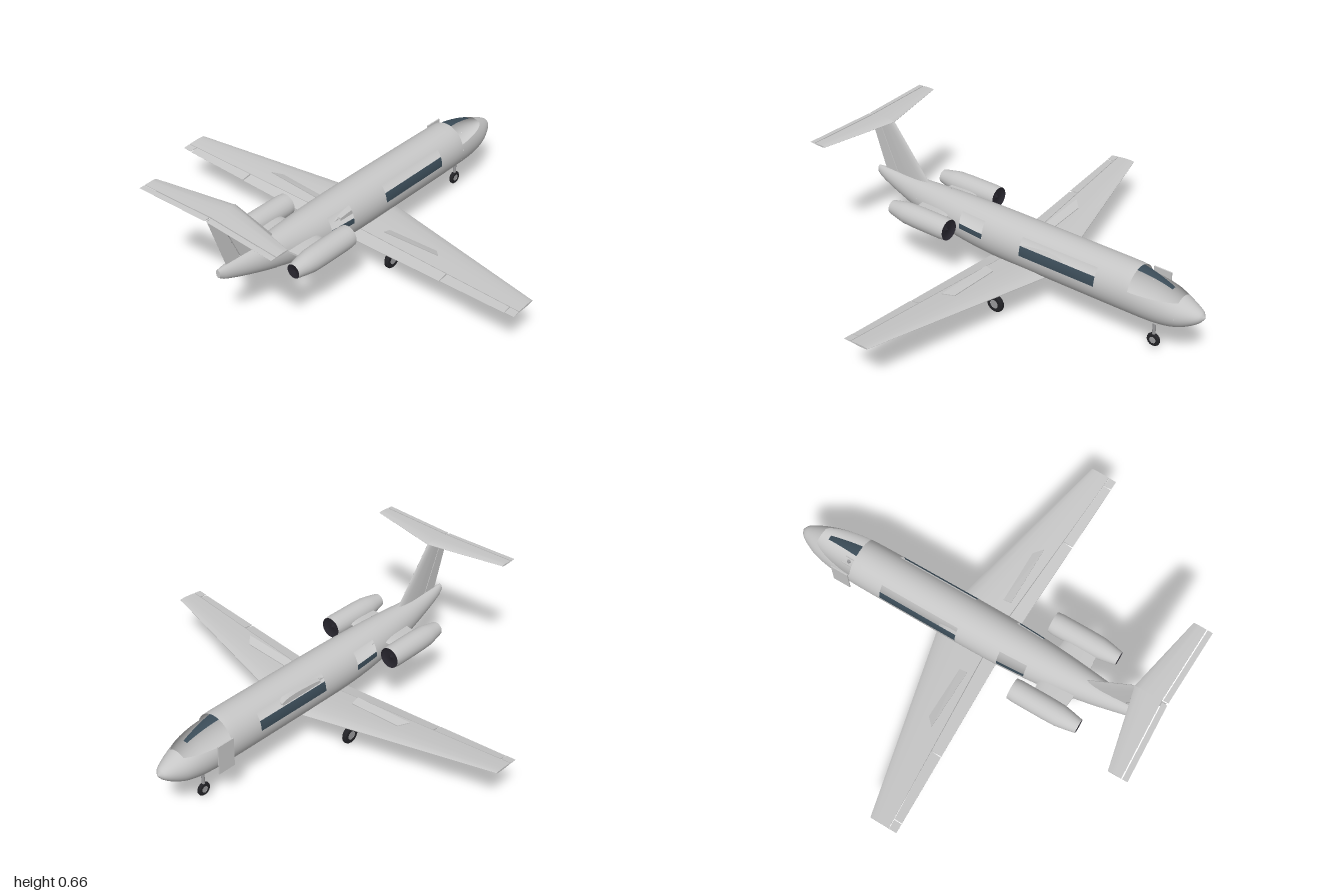
import * as THREE from 'three';
import { toCreasedNormals } from 'three/addons/utils/BufferGeometryUtils.js';
import { ConvexGeometry } from 'three/addons/geometries/ConvexGeometry.js';

const material = (name, color, side = THREE.FrontSide) =>
  Object.assign(new THREE.MeshStandardMaterial({ color, side }), { name });

const RAD = Math.PI / 180;
const V = (x, y, z) => new THREE.Vector3(x, y, z);

// Fuselage stations: x, top y, bottom y, half width
const STATIONS = [
  [-0.9, 0.385, 0.345, 0.012], [-0.87, 0.387, 0.325, 0.022], [-0.75, 0.39, 0.28, 0.045],
  [-0.6, 0.396, 0.234, 0.07], [-0.4, 0.402, 0.19, 0.095], [-0.2, 0.404, 0.17, 0.109],
  [0, 0.404, 0.166, 0.113], [0.3, 0.404, 0.166, 0.113], [0.55, 0.404, 0.166, 0.112],
  [0.63, 0.402, 0.166, 0.11], [0.7, 0.39, 0.166, 0.105], [0.78, 0.367, 0.171, 0.093],
  [0.85, 0.337, 0.188, 0.076], [0.91, 0.311, 0.218, 0.05], [0.945, 0.292, 0.245, 0.027],
  [0.96, 0.273, 0.266, 0.003],
];

// Station values at x, eased between neighbours
function stationAt(x) {
  let i = 0;
  while (i < STATIONS.length - 2 && STATIONS[i + 1][0] < x) i++;
  const at = (k) => STATIONS[Math.min(Math.max(k, 0), STATIONS.length - 1)];
  const p = at(i), q = at(i + 1), h = q[0] - p[0], t = (x - p[0]) / h;
  const slope = (k, j) => (at(k + 1)[j] - at(k - 1)[j]) / (at(k + 1)[0] - at(k - 1)[0]);
  return [1, 2, 3].map((j) => {
    const a = t * t * (3 - 2 * t), b = t * (1 - t) * (1 - t), c = t * t * (t - 1);
    return p[j] * (1 - a) + q[j] * a + h * (b * slope(i, j) + c * slope(i + 1, j));
  });
}

function hullPoint(x, a) {
  const [top, bottom, w] = stationAt(x);
  return V(x, (top + bottom) / 2 + ((top - bottom) / 2) * Math.sin(a), w * Math.cos(a));
}

// Skin between two x positions and two angles (numbers in degrees, or functions of x)
function patch(x0, x1, a0, a1, nx = 6, na = 16) {
  const pos = [], nor = [], index = [];
  const ang = (a, x) => (typeof a === 'function' ? a(x) : a) * RAD;
  for (let i = 0; i <= nx; i++) {
    const x = x0 + ((x1 - x0) * i) / nx;
    for (let j = 0; j <= na; j++) {
      const a = ang(a0, x) + ((ang(a1, x) - ang(a0, x)) * j) / na, e = 0.002;
      pos.push(...hullPoint(x, a));
      const dx = hullPoint(Math.min(x + e, 0.96), a).sub(hullPoint(Math.max(x - e, -0.9), a));
      const da = hullPoint(x, a + 0.01).sub(hullPoint(x, a - 0.01));
      nor.push(...dx.cross(da).normalize());
      if (i < nx && j < na) {
        const p = i * (na + 1) + j, q = p + na + 1;
        index.push(p, q, q + 1, p, q + 1, p + 1);
      }
    }
  }
  const g = new THREE.BufferGeometry();
  g.setAttribute('position', new THREE.Float32BufferAttribute(pos, 3));
  g.setAttribute('normal', new THREE.Float32BufferAttribute(nor, 3));
  g.setIndex(index);
  return g;
}

// Tapered aerofoil between sections [leading edge, trailing edge, half thickness]
const MAIN = [[0, 0.1], [0.06, 0.55], [0.2, 0.9], [0.42, 1], [0.7, 0.8], [1, 0.45]];
const FLAP = [[0, 0.42], [1, 0.06]];
function foil(sections, profile, axis) {
  const pts = [];
  for (const [le, te, thick] of sections)
    for (const [t, f] of profile)
      for (const s of [1, -1]) pts.push(le.clone().lerp(te, t).addScaledVector(axis, s * thick * f));
  return toCreasedNormals(new ConvexGeometry(pts), 0.5);
}

export function createModel() {
  const model = new THREE.Group();
  model.name = 'jet';
  const skin = material('light grey skin', 0xc6c6c6, THREE.DoubleSide);
  const glass = material('dark blue glass', 0x3b4c58, THREE.DoubleSide);
  const rubber = material('black rubber', 0x222226);
  const metal = material('gear metal', 0x9a9a9c);
  const dark = material('intake dark', 0x26242c, THREE.DoubleSide);
  const add = (name, geo, mat, parent = model) => {
    const m = new THREE.Mesh(geo, mat);
    m.name = name;
    parent.add(m);
    return m;
  };
  const box = (name, mat, w, h, d, x, y, z) =>
    add(name, new THREE.BoxGeometry(w, h, d), mat).position.set(x, y, z);

  // Fuselage skin, with openings for belly slots, windows and cockpit
  const fuselage = new THREE.Group();
  fuselage.name = 'fuselage';
  model.add(fuselage);
  const ring = (x0, x1, n) => add('fuselageSection', patch(x0, x1, 0, 360, n, 40), skin, fuselage);
  ring(-0.9, -0.6, 12);
  const slot = (x) => 314 - ((x + 0.6) / 0.15) * 9;
  add('bellySection', patch(-0.6, -0.45, (x) => slot(x) - 360, (x) => 540 - slot(x), 6, 30), skin, fuselage);
  add('bellyKeel', patch(-0.6, -0.45, 237, 303, 6, 10), skin, fuselage);
  ring(-0.45, -0.31, 6);
  ring(-0.17, 0.05, 6);
  ring(0.46, 0.63, 6);
  ring(0.85, 0.96, 14);
  for (const [x0, x1, glassTop] of [[-0.31, -0.17, 13], [0.05, 0.46, 24]]) {
    add('roof', patch(x0, x1, 45, 135, 6, 10), skin, fuselage);
    add('lowerHull', patch(x0, x1, 180, 360, 6, 20), skin, fuselage);
    add('leftWindow', patch(x0, x1, 0, glassTop, 6, 4), glass, fuselage);
    add('rightWindow', patch(x0, x1, 180 - glassTop, 180, 6, 4), glass, fuselage);
  }

  // Open cockpit tub below the sill, and the windscreen strip above it
  const sill = (x) => {
    const [top, bottom] = stationAt(x);
    return Math.asin((0.324 - (top + bottom) / 2) / ((top - bottom) / 2)) / RAD;
  };
  add('cockpitTub', patch(0.63, 0.85, (x) => 180 - sill(x), (x) => 360 + sill(x), 12, 30), skin, fuselage);
  add('windscreen', patch(0.63, 0.8, (x) => 75 + (x - 0.63) * 45, (x) => 105 - (x - 0.63) * 45, 8, 6), glass, fuselage);
  box('crewDoor', skin, 0.09, 0.145, 0.006, 0.675, 0.2725, -0.114);
  add('tailCap', new THREE.CircleGeometry(1, 16), skin, fuselage);
  const cap = fuselage.children.at(-1);
  cap.scale.set(0.012, 0.02, 1);
  cap.rotation.y = -Math.PI / 2;
  cap.position.set(-0.9, 0.365, 0);

  // Fin and rudder
  const sideways = V(0, 0, 1), up = V(0, 1, 0);
  add('fin', foil([[V(-0.57, 0.385, 0), V(-0.765, 0.375, 0), 0.012],
    [V(-0.78, 0.655, 0), V(-0.885, 0.655, 0), 0.008]], MAIN, sideways), skin);
  add('rudder', foil([[V(-0.77, 0.375, 0), V(-0.852, 0.385, 0), 0.012],
    [V(-0.889, 0.655, 0), V(-0.94, 0.655, 0), 0.008]], FLAP, sideways), skin);

  for (const s of [1, -1]) {
    const side = s > 0 ? 'left' : 'right';
    // Main wing, flaps and ailerons
    const at = (z) => {
      const t = (z - 0.05) / 0.95, y = 0.188 + 0.055 * t;
      return {
        le: V(0.172 - 0.227 * t, y, s * z), hinge: V(-0.085 - 0.065 * t, y - 0.003, s * z),
        te: V(-0.155 - 0.035 * t, y - 0.006, s * z), thick: 0.02 - 0.015 * t,
      };
    };
    const part = (name, zs, from, to, profile, drop = 0) => add(side + name, foil(zs.map((z) => {
      const p = at(z);
      if (profile === FLAP) p.hinge.x -= 0.003;
      p.te.y -= drop;
      return [p[from], p[to], p.thick];
    }), profile, up), skin);
    part('Wing', [0.05, 1], 'le', 'hinge', MAIN);
    part('Flap', [0.06, 0.597], 'hinge', 'te', FLAP, 0.004);
    part('Aileron', [0.603, 0.95], 'hinge', 'te', FLAP, 0.002);
    part('WingTipTab', [0.954, 1], 'hinge', 'te', FLAP);

    // Raised spoiler
    const spoiler = [[-0.03, 0.216, 0.2], [-0.07, 0.228, 0.2], [-0.03, 0.23, 0.47], [-0.07, 0.246, 0.51]];
    add(side + 'Spoiler', new ConvexGeometry(spoiler.flatMap(([x, y, z]) =>
      [V(x, y, s * z), V(x, y - 0.004, s * z)])), skin);

    // Tailplane and elevator
    add(side + 'Tailplane', foil([[V(-0.785, 0.655, 0), V(-0.915, 0.655, 0), 0.009],
      [V(-0.867, 0.655, s * 0.382), V(-0.93, 0.655, s * 0.382), 0.004]], MAIN, up), skin);
    add(side + 'Elevator', foil([[V(-0.92, 0.655, s * 0.006), V(-0.945, 0.654, s * 0.006), 0.009],
      [V(-0.935, 0.655, s * 0.382), V(-0.96, 0.655, s * 0.382), 0.004]], FLAP, up), skin);

    // Engine nacelle: open front, tapered exhaust
    const engine = new THREE.Group();
    engine.name = side + 'Engine';
    engine.position.set(0, 0.325, s * 0.186);
    model.add(engine);
    const shell = [[0.034, -0.645], [0.045, -0.59], [0.052, -0.55], [0.054, -0.48], [0.054, -0.33], [0.051, -0.3]];
    const lathe = (name, pts, mat) => {
      const g = new THREE.LatheGeometry(pts.map(([r, y]) => new THREE.Vector2(r, y)), 24);
      add(name, g.rotateZ(-Math.PI / 2), mat, engine);
    };
    lathe('nacelle', shell, skin);
    lathe('intake', [[0.051, -0.3], [0.046, -0.315], [0.012, -0.318], [0, -0.305]], dark);
    lathe('exhaust', [[0, -0.635], [0.034, -0.645]], dark);
    add(side + 'Pylon', foil([[V(-0.38, 0.325, s * 0.06), V(-0.56, 0.325, s * 0.06), 0.011],
      [V(-0.39, 0.325, s * 0.15), V(-0.55, 0.325, s * 0.15), 0.011]], MAIN, up), skin);

    // Main gear door
    box(side + 'GearDoor', skin, 0.07, 0.028, 0.004, -0.018, 0.168, s * 0.158);
  }

  // Landing gear: strut, tyre and hub
  const gear = (name, x, z, r, width, top) => {
    const g = new THREE.Group();
    g.name = name;
    g.position.set(x, 0, z);
    model.add(g);
    const cy = name === 'noseGear' ? 0.05 : r;
    const rod = (n, rad, len, mat, sides) => add(n, new THREE.CylinderGeometry(rad, rad, len, sides), mat, g);
    rod('strut', 0.008, top - cy, metal, 10).position.y = (top + cy) / 2;
    const tyre = [[0.5, -0.5], [0.88, -0.5], [1, -0.25], [1, 0.25], [0.88, 0.5], [0.5, 0.5]]
      .map(([a, b]) => new THREE.Vector2(a * r, b * width));
    const wheel = add('tyre', toCreasedNormals(new THREE.LatheGeometry(tyre, 14), 0.6), rubber, g);
    const hub = rod('hub', r * 0.52, width * 0.9, metal, 14);
    for (const m of [wheel, hub]) {
      m.rotation.x = Math.PI / 2;
      m.position.y = cy;
    }
  };
  gear('leftMainGear', -0.016, 0.202, 0.045, 0.024, 0.195);
  gear('rightMainGear', -0.016, -0.202, 0.045, 0.024, 0.195);
  gear('noseGear', 0.715, 0, 0.033, 0.018, 0.18);
  for (const z of [0.018, -0.018]) box('noseGearDoor', skin, 0.06, 0.03, 0.004, 0.712, 0.163, z);

  return model;
}
